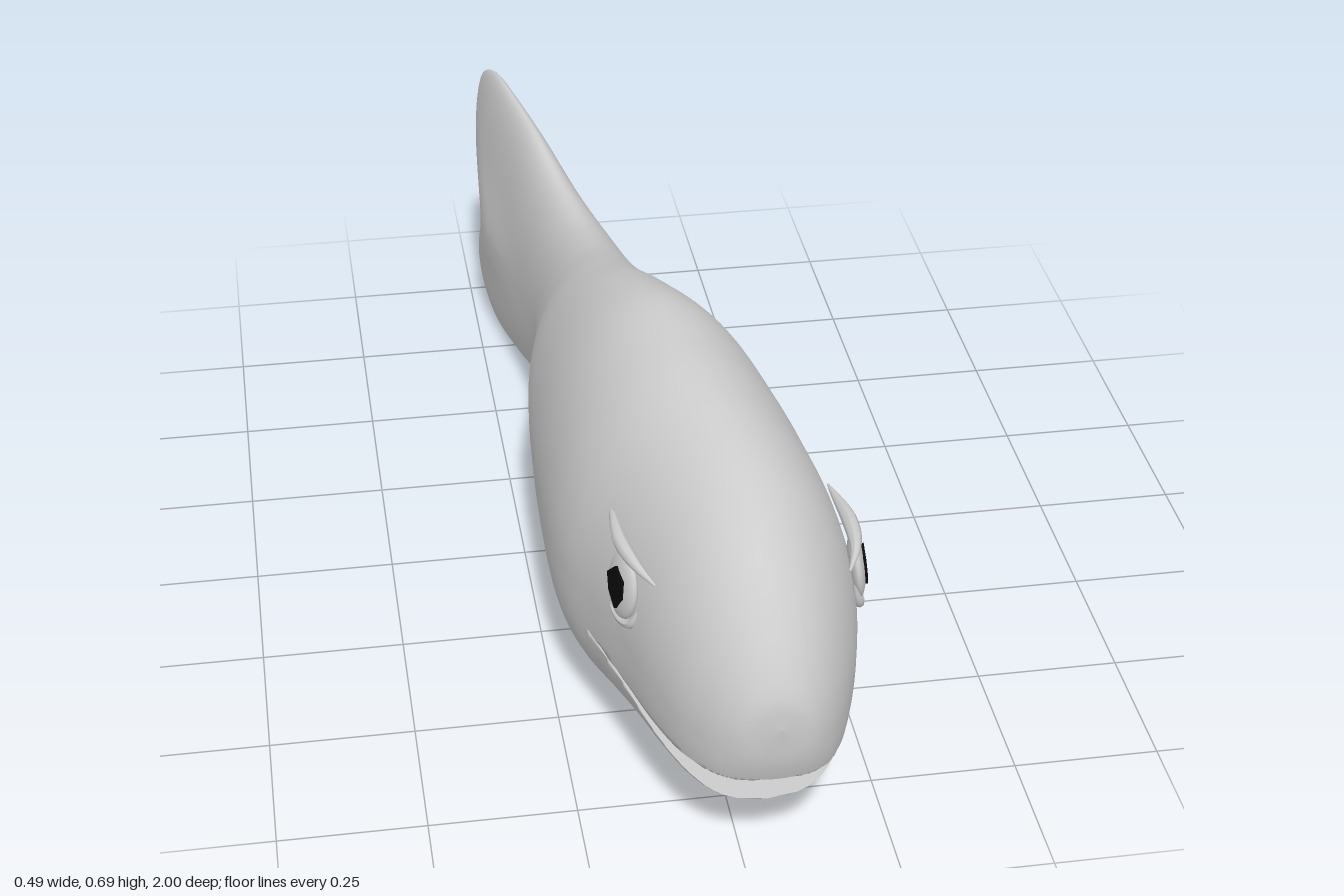
import * as THREE from 'three';

const grey = new THREE.MeshStandardMaterial({ color: 0xcccccc, side: THREE.DoubleSide });
const black = new THREE.MeshStandardMaterial({ color: 0x0a0a0a, side: THREE.DoubleSide });

// Stations from tail to snout: z, bottom y, top y, right edge x, left edge x
const STATIONS = [
  [-1.0, 0.11, 0.465, -0.212, -0.212],
  [-0.985, 0.07, 0.50, -0.23, -0.192],
  [-0.95, 0.035, 0.545, -0.238, -0.178],
  [-0.88, 0.012, 0.577, -0.236, -0.156],
  [-0.8, 0.003, 0.582, -0.226, -0.134],
  [-0.65, 0.02, 0.558, -0.205, -0.082],
  [-0.5, 0.06, 0.52, -0.19, -0.032],
  [-0.35, 0.112, 0.513, -0.185, 0.008],
  [-0.2, 0.13, 0.54, -0.2, 0.035],
  [-0.05, 0.105, 0.592, -0.23, 0.068],
  [0.1, 0.052, 0.65, -0.242, 0.114],
  [0.25, 0.031, 0.688, -0.248, 0.168],
  [0.4, 0.035, 0.686, -0.248, 0.2],
  [0.5, 0.048, 0.676, -0.234, 0.214],
  [0.6, 0.064, 0.658, -0.202, 0.224],
  [0.7, 0.08, 0.632, -0.17, 0.222],
  [0.8, 0.1, 0.59, -0.142, 0.202],
  [0.88, 0.12, 0.537, -0.112, 0.175],
  [0.935, 0.148, 0.48, -0.08, 0.148],
  [0.97, 0.195, 0.432, -0.05, 0.122],
  [0.993, 0.26, 0.385, -0.015, 0.09],
  [1.0, 0.335, 0.335, 0.04, 0.04],
];
const WAIST = 0.44, TOP_POWER = 1.9, BOTTOM_POWER = 2.7, STEPS = 168, SIDES = 96;
const MOUTH_BACK = 0.61, JAW_ROOT = 0.57, JAW_TIP = 0.936;

// Pulls the trailing edge of the tail forward into a rounded notch
function tailNotch(z, y) {
  const t = THREE.MathUtils.smoothstep(-z, 0.45, 1);
  return 0.12 * t * Math.exp(-(((y - 0.27) / 0.105) ** 2));
}

// Heights of the two faces of the mouth
const upperLip = z => (z < MOUTH_BACK ? -1 : 0.225 + 0.015 * (1 - THREE.MathUtils.smoothstep(z, 0.6, 0.7)));
const lowerLip = z => 0.24 - 0.22 * (z - 0.6) - 0.02 * THREE.MathUtils.smoothstep(z, 0.89, JAW_TIP);

// Superellipse skin between two z limits, cut flat at the lip; keep = 1 keeps the part above it, -1 below
function skin(zMin, zMax, lip, keep) {
  const heights = new THREE.CatmullRomCurve3(STATIONS.map(r => new THREE.Vector3(r[0], r[1], r[2])), false, 'catmullrom');
  const widths = new THREE.CatmullRomCurve3(STATIONS.map(r => new THREE.Vector3(r[3], r[4], 0)), false, 'catmullrom');
  const round = (v, p) => Math.sign(v) * Math.abs(v) ** (2 / p);
  const rings = [];
  for (let i = 0; i <= STEPS; i++) {
    const h = heights.getPoint(i / STEPS), w = widths.getPoint(i / STEPS);
    if (h.x < zMin || h.x > zMax) continue;
    rings.push({ z: h.x, low: h.y, high: h.z, mid: h.y + (h.z - h.y) * WAIST, cx: (w.x + w.y) / 2, half: (w.y - w.x) / 2 });
  }
  const pos = [], index = [];
  rings.forEach((r, i) => {
    for (let j = 0; j < SIDES; j++) {
      const a = (j / SIDES) * Math.PI * 2, s = Math.sin(a);
      const p = s > 0 ? TOP_POWER : BOTTOM_POWER;
      const y = r.mid + round(s, p) * (s > 0 ? r.high - r.mid : r.mid - r.low);
      pos.push(r.cx + round(Math.cos(a), p) * r.half, y, r.z + tailNotch(r.z, y));
      if (i < rings.length - 1) {
        const k = (j + 1) % SIDES, b = i * SIDES, c = b + SIDES;
        index.push(b + j, b + k, c + j, b + k, c + k, c + j);
      }
    }
  });
  const geo = new THREE.BufferGeometry();
  geo.setAttribute('position', new THREE.Float32BufferAttribute(pos, 3));
  geo.setIndex(index);
  geo.computeVertexNormals();

  // Flatten everything beyond the lip onto it, no wider than the skin is there
  const { position, normal } = geo.attributes;
  rings.forEach((r, i) => {
    const cut = lip(r.z);
    const t = Math.min(1, Math.max(0, (r.mid - cut) / Math.max(r.mid - r.low, 1e-4)));
    const limit = r.half * (1 - t ** BOTTOM_POWER) ** (1 / BOTTOM_POWER);
    for (let v = i * SIDES; v < (i + 1) * SIDES; v++) {
      if ((position.getY(v) - cut) * keep >= 0) continue;
      const dx = THREE.MathUtils.clamp(position.getX(v) - r.cx, -limit, limit);
      position.setXYZ(v, r.cx + dx, cut, r.z);
      normal.setXYZ(v, 0, -keep, 0);
    }
  });
  return geo;
}

function named(name, geo, material = grey) {
  const mesh = new THREE.Mesh(geo, material);
  mesh.name = name;
  return mesh;
}

// Eye built facing +z: shallow ball, flat faceted pupil, lower lid and brow
function makeEye(side) {
  const eye = new THREE.Group();
  eye.name = side > 0 ? 'leftEye' : 'rightEye';
  const ball = named('eyeball', new THREE.SphereGeometry(1, 24, 16));
  ball.scale.set(0.046, 0.058, 0.014);

  const outline = [[-0.03, 0.012], [-0.006, 0.036], [0.022, 0.022], [0.026, -0.008], [0.008, -0.036], [-0.018, -0.016]];
  const pupilShape = new THREE.Shape(outline.map(([x, y]) => new THREE.Vector2(-side * x, y)));
  const pupil = named('pupil', new THREE.ExtrudeGeometry(pupilShape, { depth: 0.006, bevelEnabled: false }), black);
  pupil.position.z = 0.01;

  // Ridge of skin, tapering at both ends
  const ridge = (name, pts, radius) => {
    const curve = new THREE.CatmullRomCurve3(pts.map(([x, y, z]) => new THREE.Vector3(-side * x, y, z)));
    const geo = new THREE.TubeGeometry(curve, 24, radius, 8);
    const p = geo.attributes.position, c = new THREE.Vector3(), v = new THREE.Vector3();
    for (let i = 0; i < p.count; i++) {
      const t = Math.floor(i / 9) / 24;
      curve.getPointAt(t, c);
      v.fromBufferAttribute(p, i).sub(c).multiplyScalar(0.15 + 0.85 * Math.sin(Math.PI * t)).add(c);
      p.setXYZ(i, v.x, v.y, v.z);
    }
    geo.computeVertexNormals();
    return named(name, geo);
  };
  eye.add(ball, pupil,
    ridge('brow', [[0.078, 0.046, -0.014], [0.04, 0.06, 0], [-0.03, 0.068, -0.002], [-0.12, 0.08, -0.026]], 0.013),
    ridge('lowerLid', [[0.055, 0.0, -0.01], [0.035, -0.052, -0.003], [-0.02, -0.06, -0.003], [-0.055, -0.03, -0.01]], 0.009));
  return eye;
}

export function createModel() {
  const fish = new THREE.Group();
  fish.name = 'fish';
  fish.add(
    named('body', skin(-2, 2, upperLip, 1)),
    named('lowerJaw', skin(JAW_ROOT, JAW_TIP, lowerLip, -1)));

  const left = makeEye(1);
  left.position.set(0.219, 0.42, 0.7);
  left.rotation.set(-0.12, Math.PI / 2 - 0.1, 0, 'YXZ');
  const right = makeEye(-1);
  right.position.set(-0.164, 0.42, 0.7);
  right.rotation.set(-0.12, -Math.PI / 2 + 0.3, 0, 'YXZ');
  fish.add(left, right);
  return fish;
}
